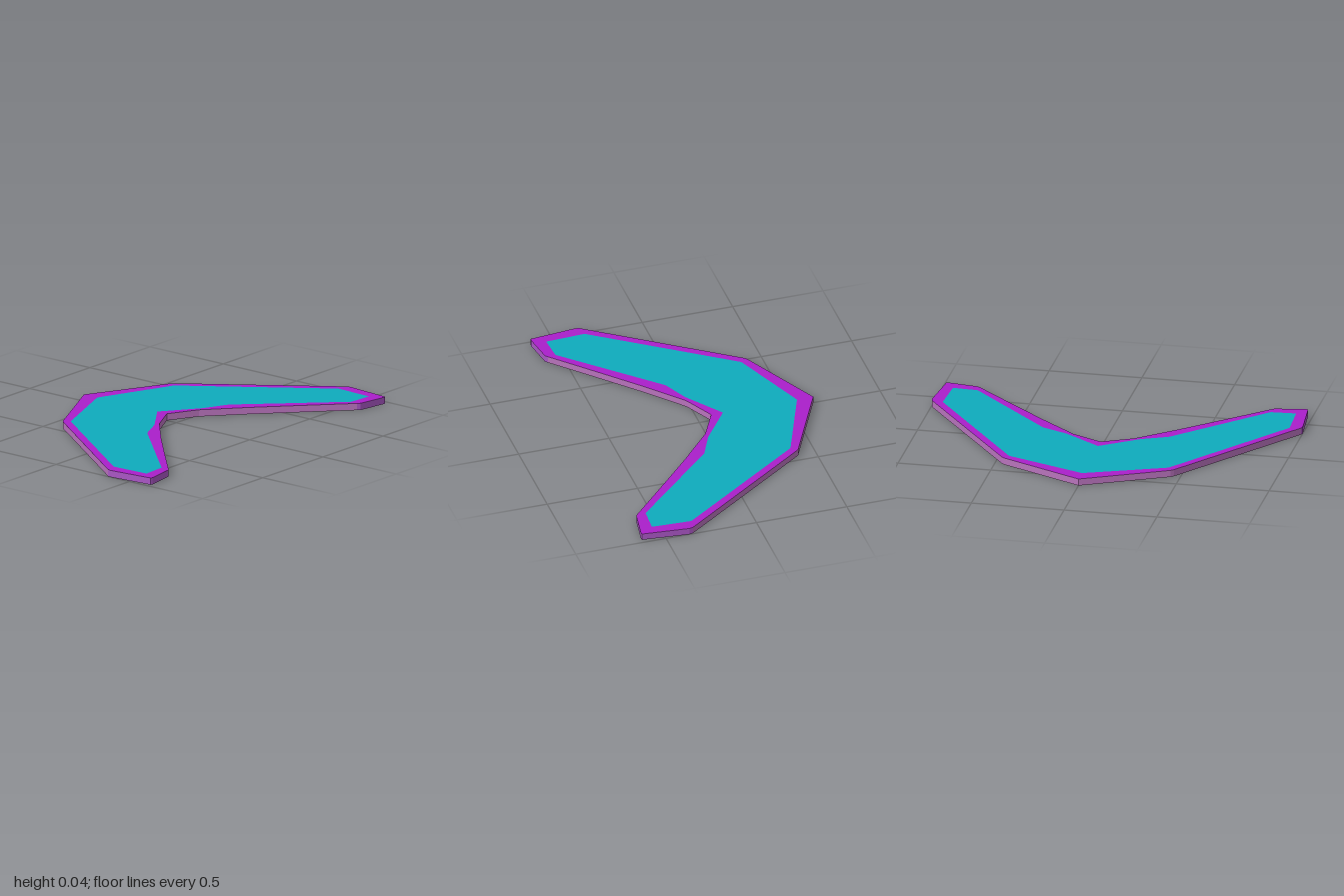
import * as THREE from 'three';

const THICK = 0.037;

// Right half of each contour as [x, z], from the back tip round to the inner notch
const OUTER = [[0, -0.63], [0.45, -0.405], [0.465, -0.39], [0.995, 0.35], [1, 0.37], [0.975, 0.625], [0.965, 0.628],
  [0.8, 0.602], [0.785, 0.59], [0.6, 0.415], [0.37, 0.2], [0.165, 0.02], [0, -0.065]];
const INNER = [[0, -0.54], [0.43, -0.368], [0.935, 0.34], [0.925, 0.555], [0.79, 0.547],
  [0.34, 0.08], [0.2, 0.015], [0, -0.13]];

// Complete a half contour by mirroring it across x = 0
const mirrored = (half) => [...half, ...half.slice(1, -1).reverse().map(([x, z]) => [-x, z])];

export function createModel() {
  const group = new THREE.Group();
  group.name = 'boomerang';
  const rimMat = new THREE.MeshStandardMaterial({ name: 'violet rim', color: 0xab1fcb });
  const faceMat = new THREE.MeshStandardMaterial({ name: 'teal face', color: 0x0eacbd });
  const edgeMat = new THREE.MeshStandardMaterial({ name: 'mauve edge', color: 0xb873bc });
  const tipMat = new THREE.MeshStandardMaterial({ name: 'purple tip edge', color: 0xa956c4 });

  const outer = mirrored(OUTER);
  const inner = mirrored(INNER);

  // Flat sheet facing up (side = 1) or down (side = -1)
  const addSheet = (name, contour, hole, material, side) => {
    const toPoints = (pts) => pts.map(([x, z]) => new THREE.Vector2(x, -side * z));
    const shape = new THREE.Shape(toPoints(contour));
    if (hole) shape.holes.push(new THREE.Path(toPoints(hole)));
    const geometry = new THREE.ShapeGeometry(shape);
    geometry.rotateX(-side * Math.PI / 2);
    const mesh = new THREE.Mesh(geometry, material);
    mesh.position.y = side > 0 ? THICK : 0;
    mesh.name = name;
    group.add(mesh);
  };
  for (const [label, side] of [['top', 1], ['bottom', -1]]) {
    addSheet(label + 'Rim', outer, inner, rimMat, side);
    addSheet(label + 'Face', inner, null, faceMat, side);
  }

  // Upright edge band, one panel per contour segment
  const edge = new THREE.Group();
  edge.name = 'edgeBand';
  outer.forEach(([x, z], i) => {
    const [x2, z2] = outer[(i + 1) % outer.length];
    const dx = x2 - x, dz = z2 - z;
    const atTip = Math.min(Math.abs(x), Math.abs(x2)) > 0.78;
    const panel = new THREE.Mesh(new THREE.PlaneGeometry(Math.hypot(dx, dz), THICK), atTip ? tipMat : edgeMat);
    panel.position.set((x + x2) / 2, THICK / 2, (z + z2) / 2);
    panel.rotation.y = Math.atan2(dz, -dx);
    panel.name = atTip ? 'tipEdge' : 'armEdge';
    edge.add(panel);
  });
  group.add(edge);
  return group;
}
